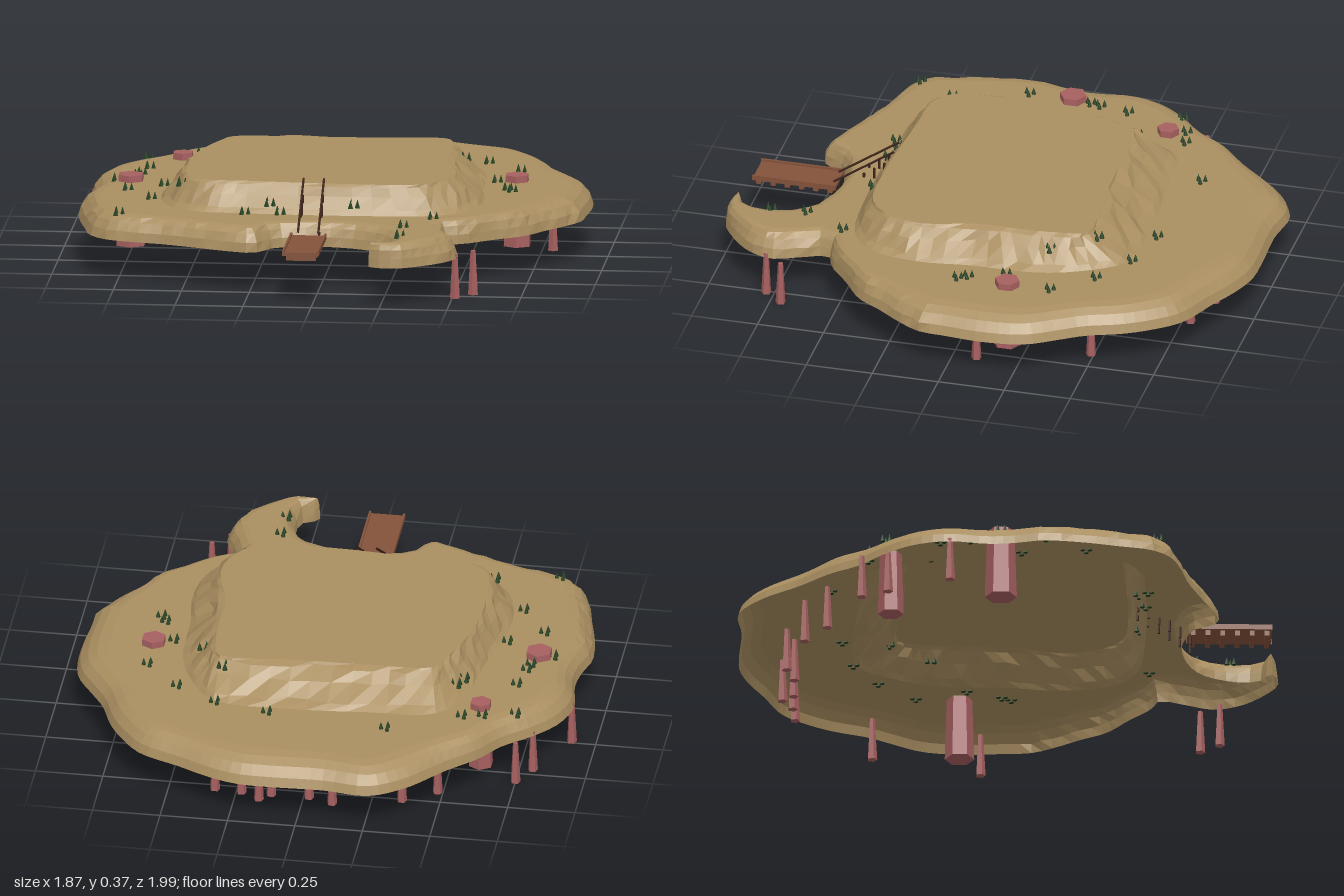
import * as THREE from 'three';

const mat = (name, color, extra = {}) => Object.assign(new THREE.MeshStandardMaterial({ color, flatShading: true, ...extra }), { name });

// small seeded noise in -1..1
let seed = 7;
const noise = () => {
  seed = (seed * 16807) % 2147483647;
  return (seed / 2147483647) * 2 - 1;
};

const closedCurve = (pts) => new THREE.CatmullRomCurve3(pts.map(([x, z]) => new THREE.Vector3(x, 0, z)), true);

// skin a stack of closed rings, lowest ring first
function loft(rings) {
  const n = rings[0].length, pos = [], idx = [];
  rings.forEach((r) => r.forEach((p) => pos.push(p.x, p.y, p.z)));
  for (let k = 0; k < rings.length - 1; k++) {
    for (let i = 0; i < n; i++) {
      const j = (i + 1) % n, a = k * n + i, b = k * n + j;
      idx.push(a, a + n, b, b, a + n, b + n);
    }
  }
  const g = new THREE.BufferGeometry();
  g.setAttribute('position', new THREE.Float32BufferAttribute(pos, 3));
  g.setIndex(idx);
  g.computeVertexNormals();
  return g;
}

// flat area bounded by a ring, with an optional hole
function flatCap(ring, y, hole) {
  const to2 = (r) => r.map((p) => new THREE.Vector2(p.x, -p.z));
  const s = new THREE.Shape(to2(ring));
  if (hole) s.holes.push(new THREE.Path(to2(hole)));
  return new THREE.ShapeGeometry(s).rotateX(-Math.PI / 2).translate(0, y, 0);
}

const OUTLINE = [
  [-0.27, -1], [-0.1, -0.985], [0.1, -0.99], [0.22, -0.985], [0.33, -0.95], [0.45, -0.89], [0.6, -0.82], [0.68, -0.73],
  [0.74, -0.63], [0.79, -0.5], [0.84, -0.42], [0.91, -0.3], [0.93, -0.15], [0.92, 0], [0.91, 0.1], [0.85, 0.2],
  [0.79, 0.28], [0.73, 0.37], [0.62, 0.45], [0.52, 0.53], [0.45, 0.56], [0.48, 0.65], [0.52, 0.76], [0.48, 0.86],
  [0.38, 0.95], [0.3, 0.99], [0.22, 0.975], [0.2, 0.955], [0.26, 0.93], [0.28, 0.88], [0.27, 0.8], [0.22, 0.71],
  [0.14, 0.66], [0.05, 0.635], [-0.03, 0.63], [-0.1, 0.645], [-0.17, 0.67], [-0.2, 0.72], [-0.24, 0.76], [-0.33, 0.74],
  [-0.45, 0.69], [-0.58, 0.64], [-0.7, 0.61], [-0.8, 0.57], [-0.86, 0.5], [-0.89, 0.38], [-0.92, 0.25], [-0.935, 0.1],
  [-0.91, 0], [-0.9, -0.1], [-0.92, -0.25], [-0.88, -0.38], [-0.8, -0.48], [-0.7, -0.57], [-0.63, -0.67], [-0.52, -0.78], [-0.4, -0.92],
];
const FOOT = [
  [-0.45, -0.52], [-0.2, -0.55], [0.1, -0.57], [0.37, -0.55], [0.48, -0.4], [0.53, -0.25], [0.54, 0], [0.56, 0.2], [0.52, 0.38],
  [0.41, 0.47], [0.1, 0.5], [-0.3, 0.49], [-0.48, 0.47], [-0.58, 0.38], [-0.62, 0.25], [-0.61, 0], [-0.57, -0.15], [-0.54, -0.35],
];
const TOP = [
  [-0.41, -0.37], [-0.2, -0.385], [0.1, -0.39], [0.37, -0.4], [0.4, -0.3], [0.41, -0.15], [0.41, 0], [0.46, 0.2], [0.43, 0.33],
  [0.34, 0.42], [0.1, 0.435], [-0.28, 0.41], [-0.43, 0.4], [-0.51, 0.34], [-0.53, 0.2], [-0.53, 0], [-0.5, -0.15], [-0.45, -0.3],
];

function buildIsland(sand) {
  const island = new THREE.Group();
  island.name = 'island';
  const add = (name, geo) => {
    const m = new THREE.Mesh(geo, sand);
    m.name = name;
    island.add(m);
  };
  const edge = closedCurve(OUTLINE).getSpacedPoints(150).slice(0, -1);
  const foot = closedCurve(FOOT).getPoints(72).slice(0, -1);
  const top = closedCurve(TOP).getPoints(72).slice(0, -1);
  const n = edge.length;

  // inward direction, and the room for rounding the shore at each point
  const inward = edge.map((p, i) => {
    const t = edge[(i + 1) % n].clone().sub(edge[(i + n - 1) % n]).normalize();
    return new THREE.Vector3(-t.z, 0, t.x);
  });
  const room = edge.map((p, i) => {
    let r = 0.13;
    for (const q of [...edge, ...foot]) {
      const d = q.clone().sub(p), along = d.dot(inward[i]);
      if (along > 1e-4) r = Math.min(r, (0.6 * d.lengthSq()) / (2 * along));
    }
    return r;
  });
  const inset = room.map((r, i) => {
    let sum = 0;
    for (let k = -3; k <= 3; k++) sum += room[(i + k + n) % n];
    return Math.min(sum / 7, r * 1.3);
  });
  const shore = [[0, 0.15], [0.1, 0.185], [0.35, 0.216], [0.65, 0.234], [1, 0.24]].map(([f, y], k) =>
    edge.map((p, i) => {
      const rough = k > 0 && k < 4 && p.z > 0.1 ? 0.07 * noise() : 0;
      return p.clone().addScaledVector(inward[i], inset[i] * (f + rough)).setY(y);
    }));
  add('shoreSlope', loft(shore));
  add('lowerGround', flatCap(shore[4], 0.24, foot));

  // raised plateau with rough walls
  const walls = [[0, 0.24], [0.2, 0.258], [0.6, 0.302], [0.88, 0.335], [1, 0.345]].map(([f, y], k) =>
    foot.map((p, i) => {
      const rough = k > 0 && k < 4 ? 0.1 * noise() : 0;
      return p.clone().lerp(top[i], f + rough).setY(y);
    }));
  add('plateauWall', loft(walls));
  add('plateauTop', flatCap(top, 0.345));
  return island;
}

export function createModel() {
  const model = new THREE.Group();
  const sand = mat('sand', 0xa98e60, { side: THREE.DoubleSide });
  const rock = mat('redRock', 0xa65f5f);
  const wood = mat('plankWood', 0x84523a);
  const darkWood = mat('darkWood', 0x3d241b);
  const green = mat('grassGreen', 0x22401f);

  const island = buildIsland(sand);
  model.add(island);

  const put = (name, geo, material, x, y, z, parent = model) => {
    const m = new THREE.Mesh(geo, material);
    m.name = name;
    m.position.set(x, y, z);
    parent.add(m);
    return m;
  };

  // thick hexagonal columns poking through the ground
  [[0.65, -0.17, 0.046], [-0.76, -0.05, 0.05], [-0.605, -0.45, 0.04]].forEach(([x, z, r]) =>
    put('rockColumn', new THREE.CylinderGeometry(r, r * 1.18, 0.265, 6), rock, x, 0.1325, z));

  // slim tapered spires under and around the rim
  [[0.57, 0.71], [0.51, 0.78], [-0.75, -0.56], [-0.8, -0.465], [-0.91, -0.24], [0.79, -0.09], [0.66, -0.49], [0.33, -0.78],
    [0.23, -0.79], [0.16, -0.83], [0.12, -0.79], [-0.02, -0.79], [-0.11, -0.82], [-0.36, -0.76], [-0.48, -0.68],
  ].forEach(([x, z]) => put('rockSpire', new THREE.CylinderGeometry(0.01, 0.019, 0.165, 5), rock, x, 0.0825, z));

  // wooden jetty with cross beams
  const jetty = new THREE.Group();
  jetty.name = 'jetty';
  model.add(jetty);
  const cx = -0.042;
  put('deck', new THREE.BoxGeometry(0.125, 0.012, 0.31), wood, cx, 0.19, 0.803, jetty);
  for (const s of [-1, 1]) put('deckEdge', new THREE.BoxGeometry(0.008, 0.02, 0.315), wood, cx + s * 0.063, 0.194, 0.803, jetty);
  for (let i = 0; i < 6; i++) put('crossBeam', new THREE.BoxGeometry(0.11, 0.022, 0.018), wood, cx, 0.175, 0.67 + i * 0.054, jetty);

  // sloping rails and pegs up to the plateau
  const low = new THREE.Vector3(0, 0.205, 0.66), high = new THREE.Vector3(0, 0.362, 0.43);
  for (const x of [-0.08, -0.005]) {
    const path = new THREE.LineCurve3(low, high);
    put('rail', new THREE.TubeGeometry(path, 1, 0.0045, 5), darkWood, x, 0, 0, jetty);
    for (let i = 0; i < 6; i++) {
      const p = path.getPoint(i / 6);
      put('railPeg', new THREE.CylinderGeometry(0.005, 0.005, 0.045, 5), darkWood, x, p.y - 0.05, p.z, jetty);
    }
  }

  // grass tufts of three blades, dropped onto the ground
  const ray = new THREE.Raycaster();
  const down = new THREE.Vector3(0, -1, 0);
  const blade = new THREE.ConeGeometry(0.01, 0.032, 5);
  island.updateMatrixWorld(true);
  [[-0.28, -0.66], [0.165, -0.61], [0.365, -0.565], [0.355, -0.435], [0.52, -0.47], [0.65, -0.33], [0.45, -0.28], [0.58, -0.145],
    [0.63, -0.015], [0.65, 0.02], [-0.62, -0.515], [-0.545, -0.53], [-0.735, -0.47], [-0.5, -0.36], [-0.52, -0.3], [-0.71, -0.27],
    [-0.73, -0.16], [-0.74, -0.12], [-0.81, -0.05], [-0.63, 0.03], [-0.755, 0.115], [-0.655, 0.265], [-0.535, 0.35],
    [-0.75, 0.525], [-0.29, 0.5], [-0.2, 0.47], [-0.16, 0.495], [0.31, 0.68], [0.31, 0.815], [0.405, 0.52], [0.11, 0.48],
  ].forEach(([x, z]) => {
    ray.set(new THREE.Vector3(x, 1, z), down);
    const hit = ray.intersectObject(island, true)[0];
    const tuft = new THREE.Group();
    tuft.name = 'grassTuft';
    tuft.position.set(x, hit ? hit.point.y : 0.24, z);
    model.add(tuft);
    [[-0.011, -0.013], [-0.011, 0.013], [0.013, 0]].forEach(([dx, dz]) => put('grassBlade', blade, green, dx, 0.012, dz, tuft));
  });

  return model;
}
